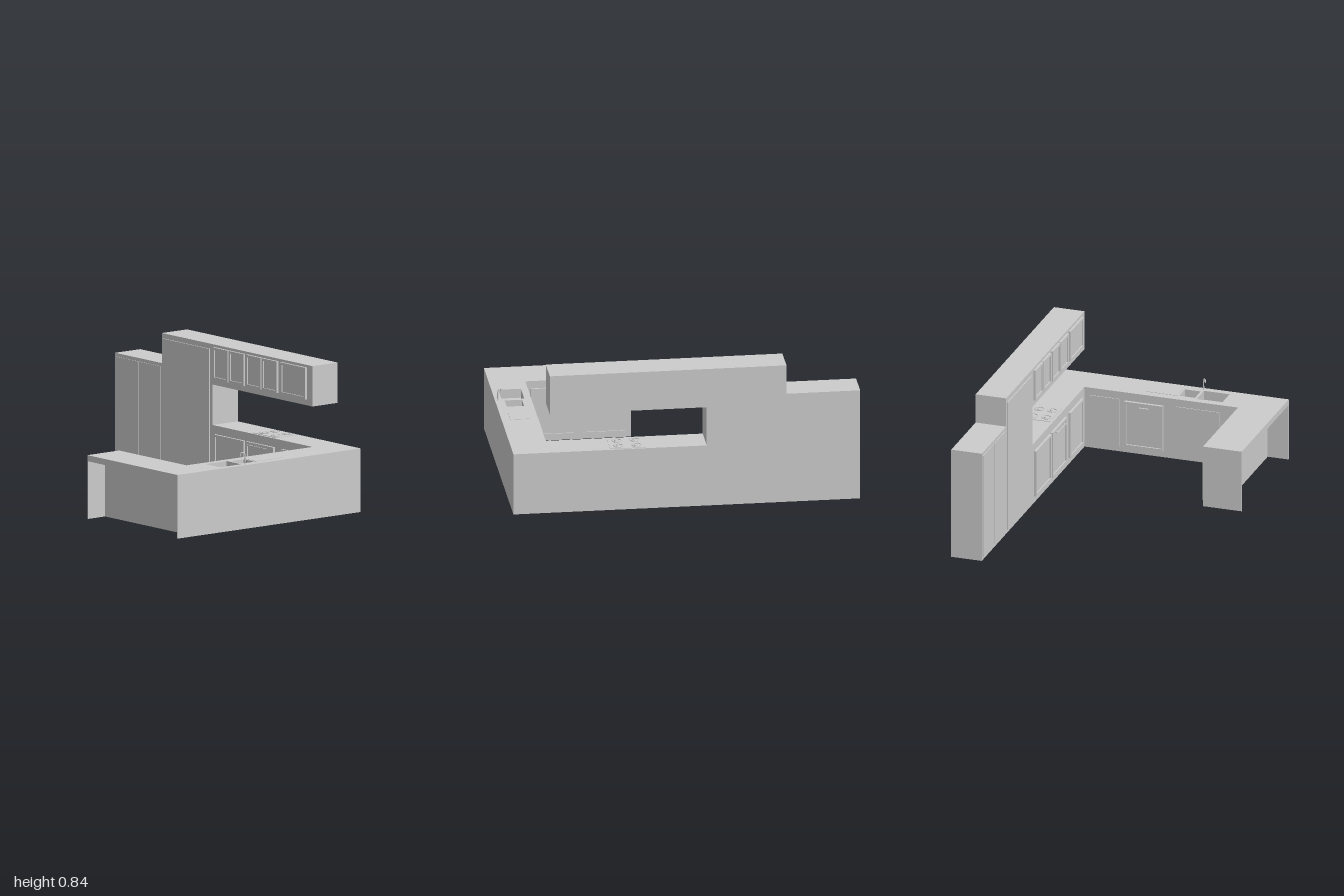
import * as THREE from 'three';

const mat = new THREE.MeshStandardMaterial({ color: 0xcccccc, flatShading: true });
const smooth = new THREE.MeshStandardMaterial({ color: 0xcccccc });

function add(parent, name, geometry, material = mat) {
  const mesh = new THREE.Mesh(geometry, material);
  mesh.name = name;
  parent.add(mesh);
  return mesh;
}

// Box given by its lower and upper limits on each axis
function box(parent, name, x0, x1, y0, y1, z0, z1) {
  const m = add(parent, name, new THREE.BoxGeometry(x1 - x0, y1 - y0, z1 - z0));
  m.position.set((x0 + x1) / 2, (y0 + y1) / 2, (z0 + z1) / 2);
  return m;
}

function rect(Type, x0, x1, y0, y1) {
  const p = [[x0, y0], [x1, y0], [x1, y1], [x0, y1]];
  return new Type(p.map(([x, y]) => new THREE.Vector2(x, y)));
}

const extrude = (shape, depth) =>
  new THREE.ExtrudeGeometry(shape, { depth, bevelEnabled: false });

// Framed door with a recessed panel; local +z points out of the cabinet
function door(parent, name, w, h, t, frame = 0.014) {
  const g = new THREE.Group();
  g.name = name;
  const shape = rect(THREE.Shape, -w / 2, w / 2, -h / 2, h / 2);
  shape.holes.push(rect(THREE.Path, -w / 2 + frame, w / 2 - frame, -h / 2 + frame, h / 2 - frame));
  add(g, 'doorFrame', extrude(shape, t));
  box(g, 'doorPanel', -w / 2 + frame, w / 2 - frame, -h / 2 + frame, h / 2 - frame, 0, t * 0.45);
  parent.add(g);
  return g;
}

// Door on a face turned to -x (dir -1) or +x (dir 1)
function sideDoor(parent, name, dir, x, z0, z1, y0, y1, t) {
  const d = door(parent, name, z1 - z0, y1 - y0, t);
  d.rotation.y = dir * Math.PI / 2;
  d.position.set(x, (y0 + y1) / 2, (z0 + z1) / 2);
  return d;
}

export function createModel() {
  const root = new THREE.Group();
  root.name = 'kitchen';

  // Long wall run: base, tall units and wall units share one side outline
  const outline = [[1, 0], [1, 0.665], [0.575, 0.665], [0.575, 0.84], [-0.79, 0.84], [-0.79, 0.605],
    [0.115, 0.605], [0.115, 0.37], [-1, 0.37], [-1, 0]].map(([x, y]) => new THREE.Vector2(x, y));
  const wall = add(root, 'wallRun', extrude(new THREE.Shape(outline), 0.185));
  wall.rotation.y = Math.PI / 2;
  wall.position.x = 0.49;

  // Tall unit doors
  box(root, 'tallDoor', 0.486, 0.49, 0.02, 0.645, -0.985, -0.79);
  box(root, 'tallDoor', 0.486, 0.49, 0.02, 0.645, -0.78, -0.59);
  box(root, 'fridgePanel', 0.483, 0.49, 0.02, 0.81, -0.56, -0.14);

  // Wall unit doors
  for (const [a, b] of [[-0.1, 0.036], [0.044, 0.18], [0.2, 0.336], [0.344, 0.48], [0.51, 0.74]])
    sideDoor(root, 'wallDoor', -1, 0.49, a, b, 0.64, 0.825, 0.014);

  // Base doors and oven
  sideDoor(root, 'baseDoor', -1, 0.49, -0.09, 0.18, 0.04, 0.32, 0.014);
  sideDoor(root, 'ovenDoor', -1, 0.49, 0.2, 0.45, 0.04, 0.32, 0.014);
  sideDoor(root, 'baseDoor', -1, 0.49, 0.51, 0.74, 0.04, 0.32, 0.014);
  box(root, 'ovenHandle', 0.459, 0.465, 0.302, 0.308, 0.23, 0.4);
  for (const z of [0.25, 0.38])
    box(root, 'handleMount', 0.463, 0.48, 0.302, 0.308, z - 0.003, z + 0.003);

  // Hob with four burners
  box(root, 'hob', 0.505, 0.665, 0.37, 0.373, 0.235, 0.44);
  for (const x of [0.545, 0.625]) for (const z of [0.285, 0.39]) {
    const ring = add(root, 'burnerRing', new THREE.TorusGeometry(0.026, 0.003, 6, 20), smooth);
    ring.rotation.x = Math.PI / 2;
    ring.position.set(x, 0.375, z);
    const cap = add(root, 'burnerCap', new THREE.CylinderGeometry(0.012, 0.014, 0.006, 16));
    cap.position.set(x, 0.375, z);
  }

  // Sink run: base below, worktop with two basin cut-outs above
  box(root, 'sinkBase', -0.44, 0.49, 0, 0.315, 0.79, 1);
  const top = rect(THREE.Shape, -0.44, 0.49, -1, -0.79);
  top.holes.push(rect(THREE.Path, -0.33, -0.175, -0.96, -0.83));
  top.holes.push(rect(THREE.Path, -0.16, -0.065, -0.945, -0.845));
  const worktop = add(root, 'sinkWorktop', extrude(top, 0.055));
  worktop.rotation.x = -Math.PI / 2;
  worktop.position.y = 0.315;
  box(root, 'drainboard', -0.055, 0.14, 0.37, 0.372, 0.84, 0.95);

  // Sink run fronts
  box(root, 'cornerPanel', 0.275, 0.46, 0.03, 0.325, 0.785, 0.79);
  box(root, 'sinkPanel', -0.33, -0.07, 0.03, 0.325, 0.785, 0.79);
  const washer = door(root, 'dishwasherDoor', 0.235, 0.28, 0.017);
  washer.rotation.y = Math.PI;
  washer.position.set(0.128, 0.18, 0.79);
  box(root, 'dishwasherHandle', 0.1, 0.155, 0.285, 0.291, 0.772, 0.784);

  // Tap
  const path = new THREE.CatmullRomCurve3([[-0.165, 0.37, 0.983], [-0.165, 0.42, 0.983],
    [-0.168, 0.434, 0.979], [-0.174, 0.438, 0.972], [-0.181, 0.434, 0.965], [-0.183, 0.418, 0.963]]
    .map((p) => new THREE.Vector3(...p)));
  add(root, 'tap', new THREE.TubeGeometry(path, 30, 0.004, 8), smooth);

  // Peninsula: overhanging top, end panels and a hollow cabinet
  box(root, 'peninsulaTop', -0.675, -0.44, 0.335, 0.37, 0.18, 1);
  box(root, 'peninsulaEnd', -0.675, -0.44, 0, 0.335, 0.18, 0.188);
  box(root, 'peninsulaEnd', -0.675, -0.44, 0, 0.335, 0.992, 1);
  box(root, 'peninsulaBack', -0.55, -0.542, 0, 0.335, 0.188, 0.992);
  box(root, 'peninsulaFront', -0.448, -0.44, 0, 0.335, 0.188, 0.992);
  sideDoor(root, 'peninsulaDoor', 1, -0.44, 0.2, 0.47, 0.03, 0.325, 0.011);
  sideDoor(root, 'peninsulaDoor', 1, -0.44, 0.5, 0.76, 0.03, 0.325, 0.011);

  return root;
}
